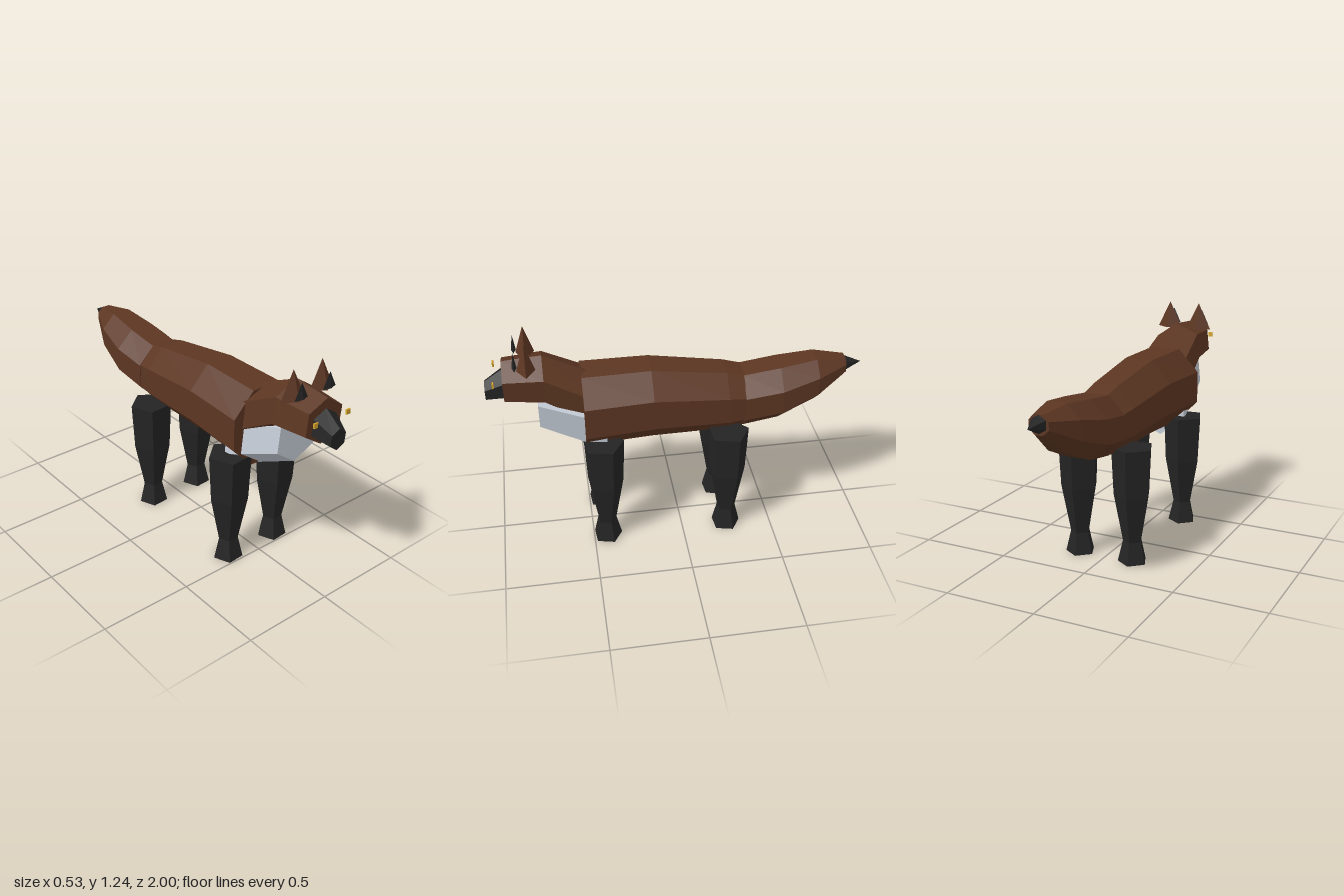
import * as THREE from 'three';

const mat = (name, color) => new THREE.MeshStandardMaterial({ name, color, flatShading: true });

// Closed faceted loft; sections run front to back as [z, centreY, radiusX, radiusY]
function loft(sections, sides, start) {
  const rings = sections.map(([z, cy, rx, ry]) =>
    Array.from({ length: sides }, (_, j) => {
      const a = start + (j / sides) * Math.PI * 2;
      return [Math.cos(a) * rx, cy + Math.sin(a) * ry, z];
    }));
  const pos = [];
  const tri = (a, b, c) => pos.push(...a, ...b, ...c);
  const last = rings.length - 1;
  for (let j = 0; j < sides; j++) {
    const k = (j + 1) % sides;
    for (let i = 0; i < last; i++) {
      tri(rings[i][j], rings[i + 1][j], rings[i][k]);
      tri(rings[i][k], rings[i + 1][j], rings[i + 1][k]);
    }
    const [zf, yf] = sections[0], [zb, yb] = sections[last];
    tri([0, yf, zf], rings[0][j], rings[0][k]);
    tri([0, yb, zb], rings[last][k], rings[last][j]);
  }
  const g = new THREE.BufferGeometry();
  g.setAttribute('position', new THREE.Float32BufferAttribute(pos, 3));
  g.computeVertexNormals();
  return g;
}

export function createModel() {
  const group = new THREE.Group();
  const brown = mat('brown fur', 0x5c3622);
  const black = mat('black fur', 0x242424);
  const pale = mat('pale chest fur', 0xc4ccd6);
  const gold = mat('gold eye', 0xd4a32a);

  const add = (name, geometry, material, x = 0, y = 0, z = 0) => {
    const m = new THREE.Mesh(geometry, material);
    m.name = name;
    m.position.set(x, y, z);
    group.add(m);
    return m;
  };

  const oct = Math.PI / 8;
  const hex = Math.PI / 2 - 0.11; // top corner leans slightly to one side

  // Torso and tail: octagonal lofts with flat tops and sides
  add('body', loft([
    [0.51, 0.795, 0.22, 0.23],
    [0.15, 0.805, 0.205, 0.222],
    [-0.25, 0.773, 0.18, 0.192],
    [-0.46, 0.76, 0.15, 0.146],
  ], 8, oct), brown);
  add('tail', loft([
    [-0.34, 0.765, 0.172, 0.172],
    [-0.54, 0.795, 0.178, 0.168],
    [-0.74, 0.852, 0.14, 0.132],
    [-0.905, 0.905, 0.058, 0.054],
  ], 8, oct), brown);
  const tip = add('tailTip', new THREE.ConeGeometry(0.048, 0.1, 6), black, 0, 0.908, -0.95);
  tip.rotation.x = -Math.PI / 2;

  // Chest bib, neck, head and muzzle: hexagonal lofts
  add('chest', loft([
    [0.74, 0.832, 0.14, 0.14],
    [0.4, 0.7, 0.185, 0.185],
  ], 6, hex), pale);
  add('neckAndHead', loft([
    [0.45, 0.84, 0.16, 0.15],
    [0.44, 0.84, 0.16, 0.15],
  ].slice(1).concat([]).length ? [
    [0.905, 0.987, 0.126, 0.118],
    [0.7, 0.983, 0.148, 0.138],
    [0.44, 0.84, 0.17, 0.152],
  ] : [], 6, hex), brown);
  add('muzzle', loft([
    [1.0, 0.932, 0.053, 0.055],
    [0.895, 0.972, 0.09, 0.088],
  ], 6, hex), black);

  // Legs: five-sided tapered columns with flared feet
  const legProfile = [[0, 0], [0.081, 0], [0.053, 0.12], [0.102, 0.38], [0.114, 0.64], [0, 0.64]]
    .map(([r, y]) => new THREE.Vector2(r, y));
  const leg = new THREE.LatheGeometry(legProfile, 5, Math.PI + 0.08);

  // Ears: four-sided cones with a dark inner cone in front
  const ear = new THREE.ConeGeometry(0.075, 0.15, 4).scale(1, 1, 0.64);
  const innerEar = new THREE.ConeGeometry(0.042, 0.085, 4).scale(1, 1, 0.3);
  const eye = new THREE.BoxGeometry(0.024, 0.026, 0.009);

  for (const [side, s] of [['left', 1], ['right', -1]]) {
    add(side + 'FrontLeg', leg, black, s * 0.158, 0, 0.425);
    add(side + 'HindLeg', leg, black, s * 0.158, 0, -0.248);
    add(side + 'Ear', ear, brown, s * 0.092, 1.16, 0.782);
    add(side + 'InnerEar', innerEar, black, s * 0.09, 1.147, 0.838);
    add(side + 'Eye', eye, gold, s * 0.105, 1.022, 0.952);
  }
  return group;
}
